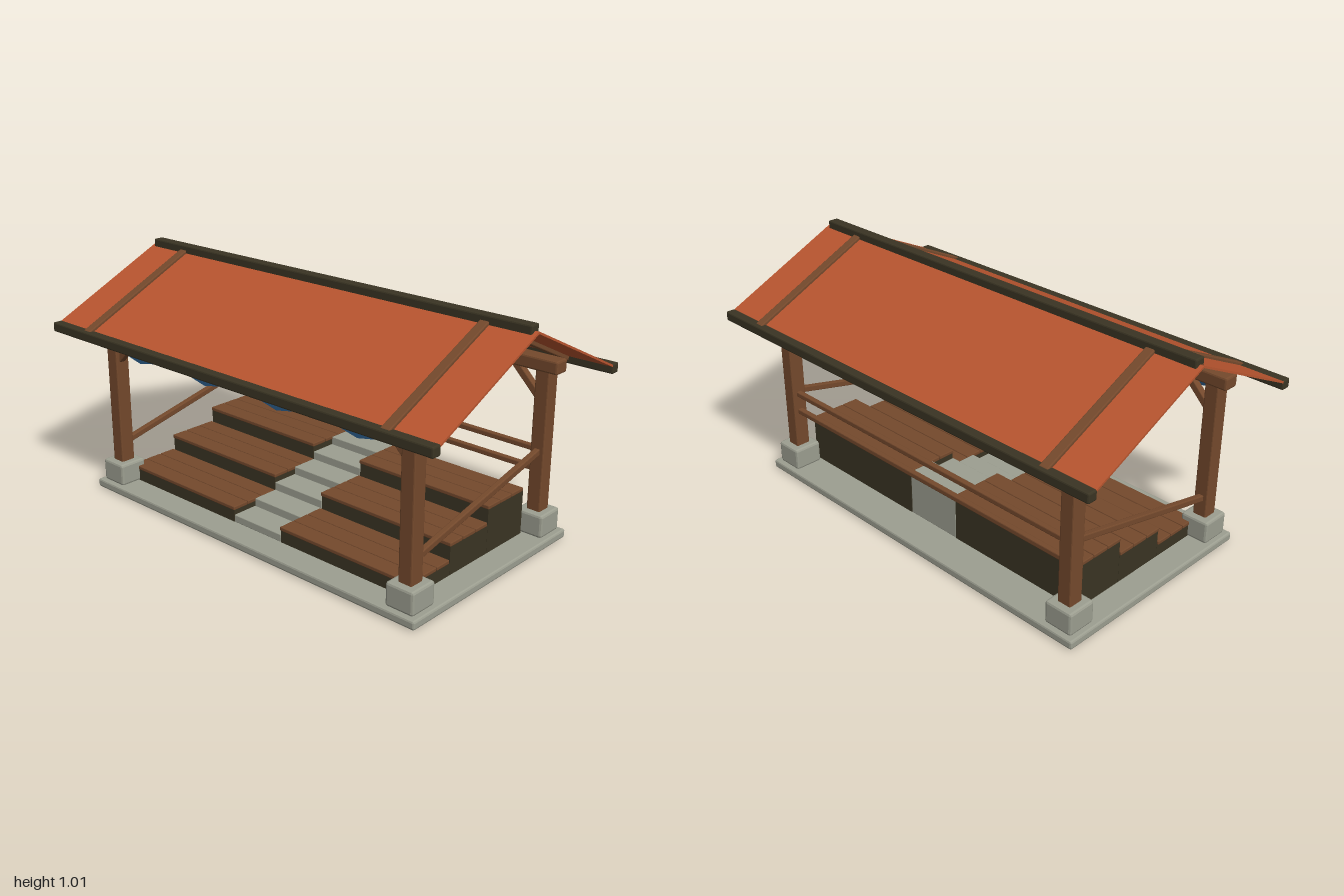
import * as THREE from 'three';
import { RoundedBoxGeometry } from 'three/addons/geometries/RoundedBoxGeometry.js';

const material = (name, color, side = THREE.FrontSide) => {
  const m = new THREE.MeshStandardMaterial({ color, side });
  m.name = name;
  return m;
};

export function createModel() {
  const model = new THREE.Group();
  model.name = 'coveredSeatingStand';

  const wood = material('brown wood', 0x74492c);
  const dark = material('dark timber', 0x3a3423);
  const stone = material('grey stone', 0x9c9e90);
  const roofing = material('terracotta roofing', 0xb8552f);
  const cloth = material('blue cloth', 0x27557f, THREE.DoubleSide);

  // Box with flat chamfers, given by centre and size
  function box(name, mat, [x, y, z], [w, h, d], chamfer = 0.004) {
    const geo = chamfer
      ? new RoundedBoxGeometry(w, h, d, 1, chamfer)
      : new THREE.BoxGeometry(w, h, d);
    if (chamfer) geo.computeVertexNormals();
    const mesh = new THREE.Mesh(geo, mat);
    mesh.name = name;
    mesh.position.set(x, y, z);
    model.add(mesh);
    return mesh;
  }

  // Beam running between two points, local z along its length
  function beam(name, mat, a, b, w, h, chamfer = 0.004) {
    const p = new THREE.Vector3(...a), q = new THREE.Vector3(...b);
    const mid = p.clone().add(q).multiplyScalar(0.5);
    const mesh = box(name, mat, mid.toArray(), [w, h, p.distanceTo(q)], chamfer);
    mesh.lookAt(q);
    return mesh;
  }

  // Base slab
  box('baseSlab', stone, [0, 0.022, 0], [1.76, 0.036, 0.965], 0.008);
  box('slabUnderside', stone, [0, 0.01, 0], [1.74, 0.02, 0.945], 0);

  const postX = 0.795, postZ = 0.4;
  for (const sz of [1, -1]) {
    // Wall plate, eave and roof slope
    box('wallPlate', wood, [0, 0.735, sz * postZ], [1.72, 0.054, 0.07], 0.008);
    box('eaveBeam', dark, [0, 0.726, sz * 0.548], [2, 0.04, 0.042], 0.006);
    beam('roofPanel', roofing, [0, 0.988, 0], [0, 0.73, sz * 0.55], 1.996, 0.008, 0);

    for (const sx of [1, -1]) {
      const x = sx * postX, z = sz * postZ;
      box('postFooting', stone, [x, 0.087, z], [0.125, 0.096, 0.125], 0.01);
      box('post', wood, [x, 0.42, z], [0.06, 0.6, 0.064], 0.005);
      beam('rafter', wood, [sx * 0.79, 0.985, 0], [sx * 0.79, 0.73, sz * 0.545], 0.04, 0.036);
      beam('kneeBrace', wood, [sx * 0.785, 0.585, z], [sx * 0.655, 0.715, z], 0.03, 0.03);
    }
  }
  box('ridgeBeam', dark, [0, 0.994, 0], [1.965, 0.042, 0.046], 0.006);

  // Sloping side rails and level back rails
  for (const sx of [1, -1])
    beam('sideRail', wood, [sx * postX, 0.212, 0.39], [sx * postX, 0.388, -0.39], 0.024, 0.026);
  for (const y of [0.3, 0.383])
    box('backRail', wood, [0, y, -postZ], [1.56, 0.022, 0.024]);

  // Stepped seating on both sides of the aisle
  const tierDepth = 0.233, frontZ = 0.37, backZ = -0.328;
  const plankThick = 0.016, innerX = 0.132, outerX = 0.77;
  const blockW = outerX - innerX, planks = 3;
  for (const sx of [1, -1]) {
    const x = sx * (innerX + outerX) / 2;
    for (let tier = 0; tier < 3; tier++) {
      const top = 0.107 + tier * 0.067;
      const front = frontZ - tier * tierDepth;
      const bodyTop = top - plankThick + 0.002;
      box('tierBody', dark, [x, (0.04 + bodyTop) / 2, front - tierDepth / 2],
        [blockW, bodyTop - 0.04, tierDepth - 0.001], 0);
      const step = tierDepth / planks;
      for (let i = 0; i < planks; i++)
        box('seatPlank', wood, [x, top - plankThick / 2, front + 0.004 - step * (i + 0.5)],
          [blockW + 0.006, plankThick, step - 0.003], 0.003);
    }
  }

  // Stone stair in the aisle
  const steps = 6, tread = (frontZ - backZ) / steps;
  for (let i = 0; i < steps; i++) {
    const top = 0.072 + i * 0.0328;
    box('stairStep', stone, [0, (0.04 + top) / 2, frontZ - tread * (i + 0.5)],
      [innerX * 2 - 0.002, top - 0.04, tread], 0.003);
  }

  // Row of pointed cloth pennants below the front eave
  const half = 0.188;
  const outline = new THREE.Shape([
    new THREE.Vector2(-half, 0.715), new THREE.Vector2(-half, 0.665),
    new THREE.Vector2(0, 0.627), new THREE.Vector2(half, 0.665),
    new THREE.Vector2(half, 0.715),
  ]);
  const pennantGeo = new THREE.ShapeGeometry(outline);
  const pos = pennantGeo.attributes.position;
  for (let i = 0; i < pos.count; i++) pos.setZ(i, 0.441 + (0.715 - pos.getY(i)) * 0.08);
  pennantGeo.computeVertexNormals();
  for (let i = 0; i < 4; i++) {
    const pennant = new THREE.Mesh(pennantGeo, cloth);
    pennant.name = 'pennant';
    pennant.position.x = (i - 1.5) * 0.39;
    model.add(pennant);
  }

  return model;
}
